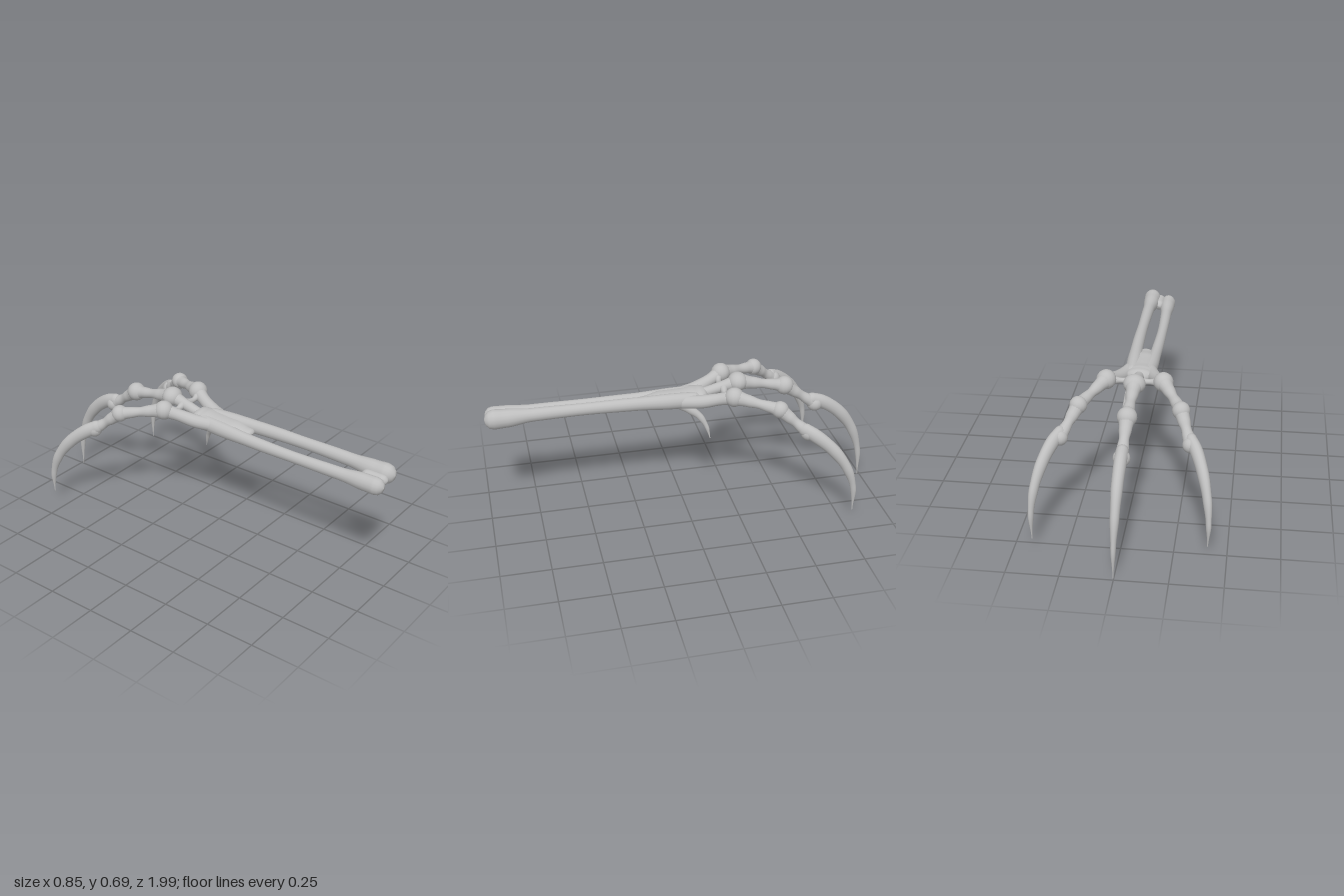
import * as THREE from 'three';

const bone = new THREE.MeshStandardMaterial({ color: 0xbebebe });
bone.name = 'bone grey';

// Closed limb swept through [x, y, z, radius] stations; side = ring axis, flat = radius ratio across it
function limb(name, stations, { side = [1, 0, 0], flat = 1, steps = 6, sides = 16 } = {}) {
  const path = new THREE.CatmullRomCurve3(stations.map(s => new THREE.Vector3(s[0], s[1], s[2])), false, 'centripetal');
  const radii = stations.map(s => s[3]);
  const rings = (stations.length - 1) * steps;
  const radiusAt = t => {
    const f = t * (radii.length - 1), i = Math.min(Math.floor(f), radii.length - 2);
    return THREE.MathUtils.lerp(radii[i], radii[i + 1], THREE.MathUtils.smoothstep(f - i, 0, 1));
  };
  const pos = [], index = [];
  const S = new THREE.Vector3(), U = new THREE.Vector3();
  const ring = (c, T, r) => {
    S.set(...side).addScaledVector(T, -T.dot(S)).normalize();
    U.crossVectors(T, S);
    for (let j = 0; j < sides; j++) {
      const a = j / sides * Math.PI * 2;
      const p = c.clone().addScaledVector(S, Math.cos(a) * r).addScaledVector(U, Math.sin(a) * r * flat);
      pos.push(p.x, p.y, p.z);
    }
  };
  // rounded start, body, rounded end
  const cap = [0.02, 0.5, 0.87];
  const list = [];
  cap.forEach(k => list.push([0, k, -Math.sqrt(1 - k * k)]));
  for (let i = 0; i <= rings; i++) list.push([i / rings, 1, 0]);
  [...cap].reverse().forEach(k => list.push([1, k, Math.sqrt(1 - k * k)]));
  list.forEach(([t, k, push]) => {
    const T = path.getTangent(t), r = radiusAt(t);
    // start from the un-orthogonalised side each time so the rings never twist
    S.set(...side).addScaledVector(T, -T.dot(new THREE.Vector3(...side)));
    ring(path.getPoint(t).addScaledVector(T, push * r * Math.min(1, flat)), T, r * k);
  });
  for (let i = 0; i < list.length - 1; i++) for (let j = 0; j < sides; j++) {
    const a = i * sides + j, b = i * sides + (j + 1) % sides;
    index.push(a, b, a + sides, b, b + sides, a + sides);
  }
  const g = new THREE.BufferGeometry();
  g.setAttribute('position', new THREE.Float32BufferAttribute(pos, 3));
  g.setIndex(index);
  g.computeVertexNormals();
  const mesh = new THREE.Mesh(g, bone);
  mesh.name = name;
  return mesh;
}

// Knuckle swelling
function knuckle(name, x, y, z, r, sx = 1, sy = 1, sz = 1) {
  const m = new THREE.Mesh(new THREE.SphereGeometry(r, 16, 12), bone);
  m.scale.set(sx, sy, sz);
  m.position.set(x, y, z);
  m.name = name;
  return m;
}

// Finger: root bone, two phalanges, three knuckles and a hooked claw
function finger(name, root, k, claw, side) {
  const g = new THREE.Group();
  g.name = name;
  const mix = (a, b, t, r) => [0, 1, 2].map(i => a[i] + (b[i] - a[i]) * t).concat(r);
  g.add(limb('metacarpal', [...root, k[0].slice(0, 3).concat(0.036)], { side }));
  for (let i = 0; i < 2; i++) {
    const a = k[i], b = k[i + 1];
    g.add(limb('phalanx', [mix(a, b, 0, a[3] * 0.85), mix(a, b, 0.3, 0.031), mix(a, b, 0.55, 0.024),
      mix(a, b, 0.78, 0.029), mix(a, b, 1, b[3] * 0.85)], { side }));
  }
  k.forEach(p => g.add(knuckle('knuckle', ...p)));
  g.add(limb('claw', claw, { side, flat: 1.2, steps: 8 }));
  return g;
}

export function createModel() {
  const model = new THREE.Group();
  model.name = 'skeletalClaw';

  // Forearm bones
  model.add(limb('leftForearmBone', [
    [0.034, 0.597, 0.945, 0.046], [0.034, 0.597, 0.88, 0.043], [0.037, 0.602, 0.75, 0.031], [0.039, 0.604, 0.5, 0.028],
    [0.039, 0.601, 0.25, 0.031], [0.034, 0.592, 0.05, 0.037], [0.03, 0.588, -0.06, 0.036]], { flat: 1.1 }));
  model.add(limb('rightForearmBone', [
    [-0.058, 0.572, 0.945, 0.04], [-0.058, 0.572, 0.88, 0.039], [-0.062, 0.573, 0.75, 0.029], [-0.066, 0.574, 0.5, 0.026],
    [-0.062, 0.575, 0.25, 0.029], [-0.054, 0.58, 0.05, 0.036], [-0.05, 0.585, -0.06, 0.036]], { flat: 1.1 }));
  model.add(limb('elbowBridge', [[-0.012, 0.585, 0.95, 0.028], [-0.012, 0.585, 0.87, 0.028]], { flat: 1 }));

  // Palm
  model.add(limb('palm', [
    [-0.012, 0.588, 0.2, 0.035], [-0.011, 0.587, 0.1, 0.068], [-0.01, 0.585, 0, 0.077],
    [-0.012, 0.588, -0.06, 0.082], [-0.012, 0.595, -0.1, 0.07]], { flat: 0.52, sides: 24 }));

  // Outer fingers
  for (const [s, name] of [[1, 'leftFinger'], [-1, 'rightFinger']]) {
    const o = s > 0 ? 0 : 0.012, x = v => s * (v + o);
    const tip = s > 0 ? 0.062 : 0.082;
    model.add(finger(name,
      [[x(0.04), 0.585, 0.0, 0.034], [x(0.07), 0.592, -0.09, 0.034], [x(0.1), 0.612, -0.17, 0.031]],
      [[x(0.134), 0.634, -0.24, 0.049], [x(0.238), 0.593, -0.448, 0.043], [s * 0.307, 0.484, -0.578, 0.039]],
      [[s * 0.305, 0.503, -0.56, 0.029], [s * 0.335, 0.475, -0.61, 0.03], [s * 0.372, 0.408, -0.69, 0.027],
        [s * 0.4, 0.31, -0.76, 0.021], [s * 0.412, 0.2, -0.797, 0.013], [s * 0.411, tip, -0.803, 0.002]],
      [0.88, 0, s * 0.47]));
    // Web of bone between neighbouring fingers
    model.add(limb('knuckleWeb', [[x(0.125), 0.625, -0.225, 0.025], [x(0.06), 0.618, -0.212, 0.013],
      [-0.01, 0.622, -0.22, 0.024]], { side: [0, 0, 1] }));
  }

  // Middle finger
  model.add(finger('middleFinger',
    [[-0.012, 0.59, -0.06, 0.035], [-0.012, 0.602, -0.13, 0.026], [-0.011, 0.622, -0.21, 0.028]],
    [[-0.011, 0.643, -0.295, 0.051, 1.08, 0.95, 1], [-0.007, 0.595, -0.545, 0.048], [-0.003, 0.472, -0.715, 0.041]],
    [[-0.004, 0.497, -0.695, 0.03], [-0.003, 0.478, -0.755, 0.03], [-0.001, 0.408, -0.852, 0.028],
      [0, 0.3, -0.93, 0.022], [0.002, 0.16, -0.977, 0.013], [0.003, 0.002, -0.988, 0.002]],
    [1, 0, 0]));

  // Small rear spur
  model.add(limb('spur', [[0.015, 0.57, 0.02, 0.026], [0.03, 0.535, -0.035, 0.021], [0.045, 0.495, -0.085, 0.016],
    [0.06, 0.44, -0.118, 0.01], [0.069, 0.375, -0.135, 0.002]], { flat: 1.1 }));

  return model;
}
